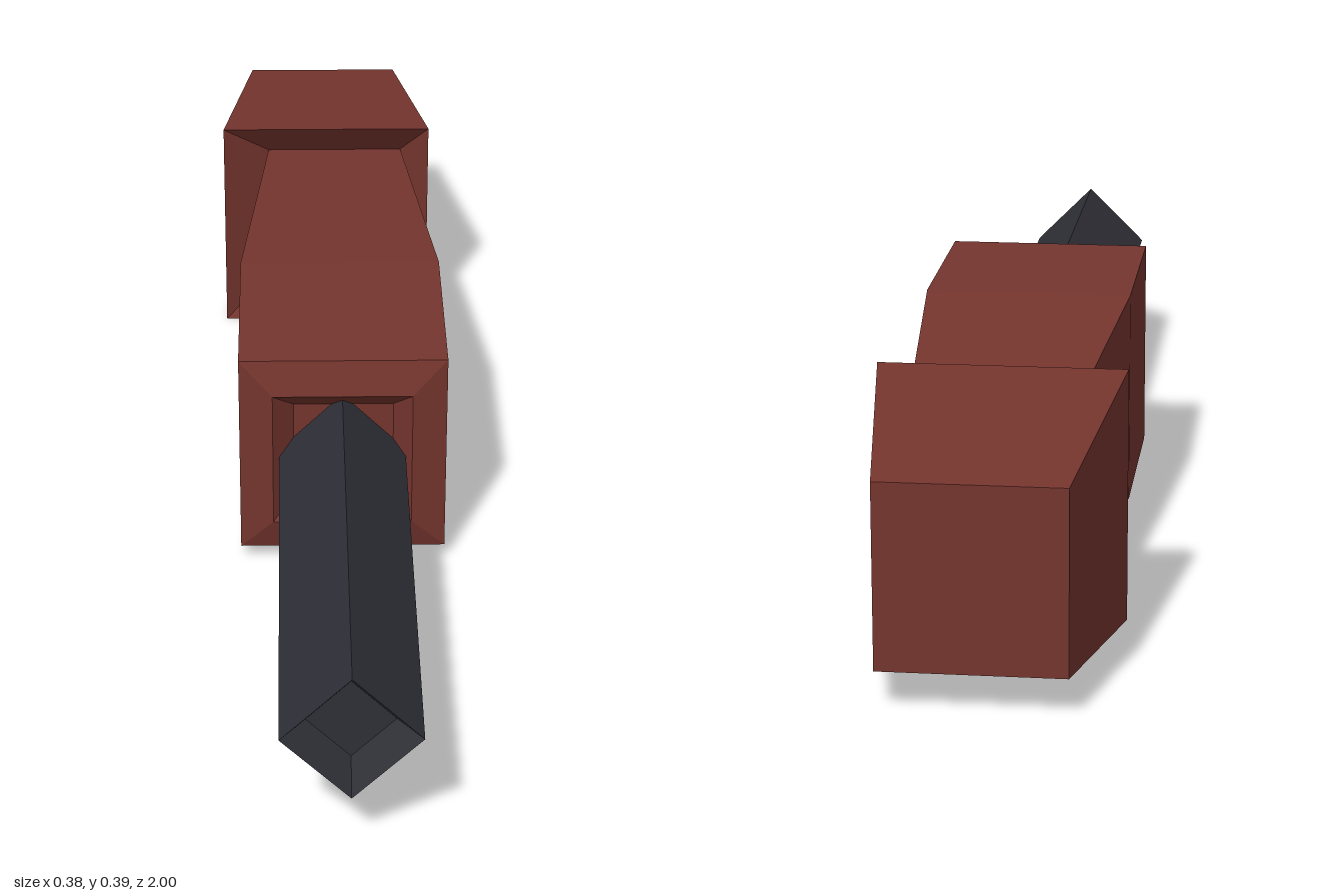
import * as THREE from 'three';

// Four-cornered rings, counter-clockwise seen from the front
const SQUARE = [[1, 1], [-1, 1], [-1, -1], [1, -1]];
const DIAMOND = [[1, 0], [0, 1], [-1, 0], [0, -1]];

// Loft through sections [z, centreX, centreY, halfWidth, halfHeight]; first section is the front cap
function loft(name, corners, sections, color) {
  const rings = sections.map(([z, cx, cy, hx, hy]) =>
    corners.map(([u, v]) => [cx + u * hx, cy + v * hy, z]));
  const positions = [];
  const quad = (a, b, c, d) => positions.push(...a, ...b, ...c, ...a, ...c, ...d);

  quad(...rings[0]);
  for (let r = 0; r < rings.length - 1; r++) {
    for (let i = 0; i < 4; i++) {
      const j = (i + 1) % 4;
      quad(rings[r][i], rings[r + 1][i], rings[r + 1][j], rings[r][j]);
    }
  }
  quad(...[...rings[rings.length - 1]].reverse());

  const geometry = new THREE.BufferGeometry();
  geometry.setAttribute('position', new THREE.Float32BufferAttribute(positions, 3));
  geometry.computeVertexNormals();
  const mesh = new THREE.Mesh(geometry, new THREE.MeshStandardMaterial({ color, flatShading: true }));
  mesh.name = name;
  return mesh;
}

export function createModel() {
  const group = new THREE.Group();
  group.name = 'handleWithRod';
  const brown = 0x75352e;
  const dark = 0x2f2f37;

  // Grip: shallow socket, raised lip, straight front, tapering rear
  group.add(loft('grip', SQUARE, [
    [0.21, 0.018, 0.201, 0.081, 0.085],
    [0.245, 0.016, 0.201, 0.113, 0.118],
    [0.23, 0.017, 0.202, 0.168, 0.175],
    [-0.11, 0.017, 0.202, 0.168, 0.175],
    [-0.65, 0.016, 0.202, 0.122, 0.13],
  ], brown));

  // Pommel: hollowed towards the grip, narrowing to the back
  group.add(loft('pommel', SQUARE, [
    [-0.65, 0.016, 0.202, 0.122, 0.13],
    [-0.605, 0, 0.197, 0.188, 0.197],
    [-1, -0.002, 0.199, 0.137, 0.139],
  ], brown));

  // Rod: diamond section with a sunken tip
  group.add(loft('rod', DIAMOND, [
    [0.95, 0.016, 0.2, 0.065, 0.065],
    [1, 0.016, 0.2, 0.103, 0.103],
    [0.2, 0.016, 0.2, 0.103, 0.103],
  ], dark));

  return group;
}
